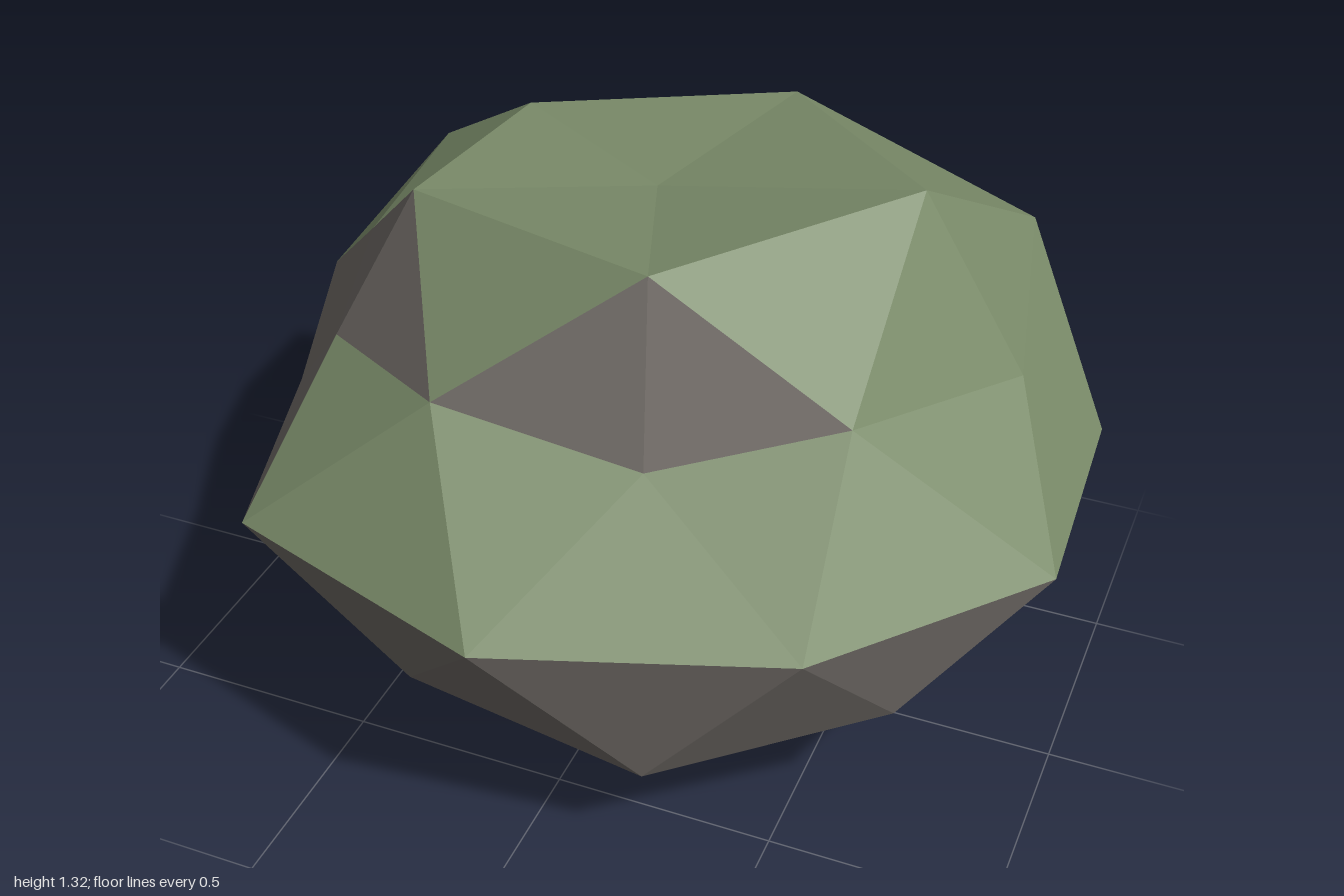
import * as THREE from 'three';

const stone = new THREE.MeshStandardMaterial({ color: 0x75706b });
stone.name = 'stone grey';
const moss = new THREE.MeshStandardMaterial({ color: 0x7a8b69 });
moss.name = 'moss green';

// Widest ring, ten corners, running from +x towards +z
const waist = [[0.99, 0.19], [0.6, 0.65], [-0.02, 0.87], [-0.65, 0.66], [-0.81, 0.13],
  [-1, -0.38], [-0.56, -0.75], [0, -0.88], [0.55, -0.77], [0.96, -0.38]].map(([x, z]) => [x, 0.65, z]);

// Each half: a pole, an inner ring, outer corners, and the corners between those
const upper = {
  pole: [-0.01, 1.21, -0.1],
  inner: [[0.58, 1.32, -0.1], [0.16, 1.28, 0.37], [-0.45, 1.25, 0.18], [-0.43, 1.21, -0.36], [0.15, 1.26, -0.55]],
  outer: [[0.82, 0.93, -0.1], [0.2, 0.9, 0.49], [-0.61, 0.91, 0.28], [-0.76, 0.97, -0.57], [0.24, 0.89, -0.68]],
  between: [[0.57, 0.98, 0.3], [-0.25, 0.98, 0.53], [-0.66, 1.02, 0], [-0.22, 0.94, -0.65], [0.72, 1.05, -0.56]],
  shift: 0,
  // bare stone faces in each of the five sectors
  bare: [[3], [2, 3], [2, 4, 5, 6], [3, 4, 5], [2, 6]],
};
const lower = {
  pole: [0, 0.065, -0.06],
  inner: [[0.37, 0.11, 0.17], [-0.17, 0.19, 0.35], [-0.59, 0.2, -0.1], [-0.19, 0, -0.57], [0.4, 0.24, -0.4]],
  outer: [[0.72, 0.34, 0.37], [-0.28, 0.33, 0.645], [-0.97, 0.31, -0.1], [-0.16, 0.32, -0.74], [0.585, 0.39, -0.47]],
  between: [[0.27, 0.26, 0.67], [-0.56, 0.36, 0.35], [-0.7, 0.24, -0.5], [0.28, 0.26, -0.84], [0.82, 0.29, -0.09]],
  shift: 1,
};

// Adds one triangle, turned to face away from the middle of the rock
function addFace(list, corners) {
  const [a, b, c] = corners.map((p) => new THREE.Vector3(...p));
  const normal = b.clone().sub(a).cross(c.clone().sub(a));
  const outward = a.clone().add(b).add(c).divideScalar(3).sub(new THREE.Vector3(0, 0.65, -0.05));
  const ordered = normal.dot(outward) < 0 ? [a, c, b] : [a, b, c];
  ordered.forEach((p) => list.push(p.x, p.y, p.z));
}

function addHalf(half, stoneList, mossList) {
  const { pole, inner, outer, between, shift, bare } = half;
  for (let i = 0; i < 5; i++) {
    const n = (i + 1) % 5;
    const w = (k) => waist[(2 * i + k + shift + 10) % 10];
    const mid = between[i];
    const faces = [
      [pole, inner[i], inner[n]],
      [inner[i], inner[n], mid],
      [inner[i], outer[i], mid],
      [inner[n], outer[n], mid],
      [outer[i], w(-1), w(0)],
      [outer[i], mid, w(0)],
      [mid, w(0), w(1)],
      [outer[n], mid, w(1)],
    ];
    faces.forEach((face, f) => addFace(!bare || bare[i].includes(f) ? stoneList : mossList, face));
  }
}

function facetMesh(name, list, material) {
  const geometry = new THREE.BufferGeometry();
  geometry.setAttribute('position', new THREE.Float32BufferAttribute(list, 3));
  geometry.computeVertexNormals(); // unshared corners give flat facets
  const mesh = new THREE.Mesh(geometry, material);
  mesh.name = name;
  return mesh;
}

export function createModel() {
  const group = new THREE.Group();
  group.name = 'mossyRock';
  const stoneList = [];
  const mossList = [];
  addHalf(upper, stoneList, mossList);
  addHalf(lower, stoneList, mossList);
  group.add(facetMesh('bareStone', stoneList, stone), facetMesh('mossCover', mossList, moss));
  return group;
}
